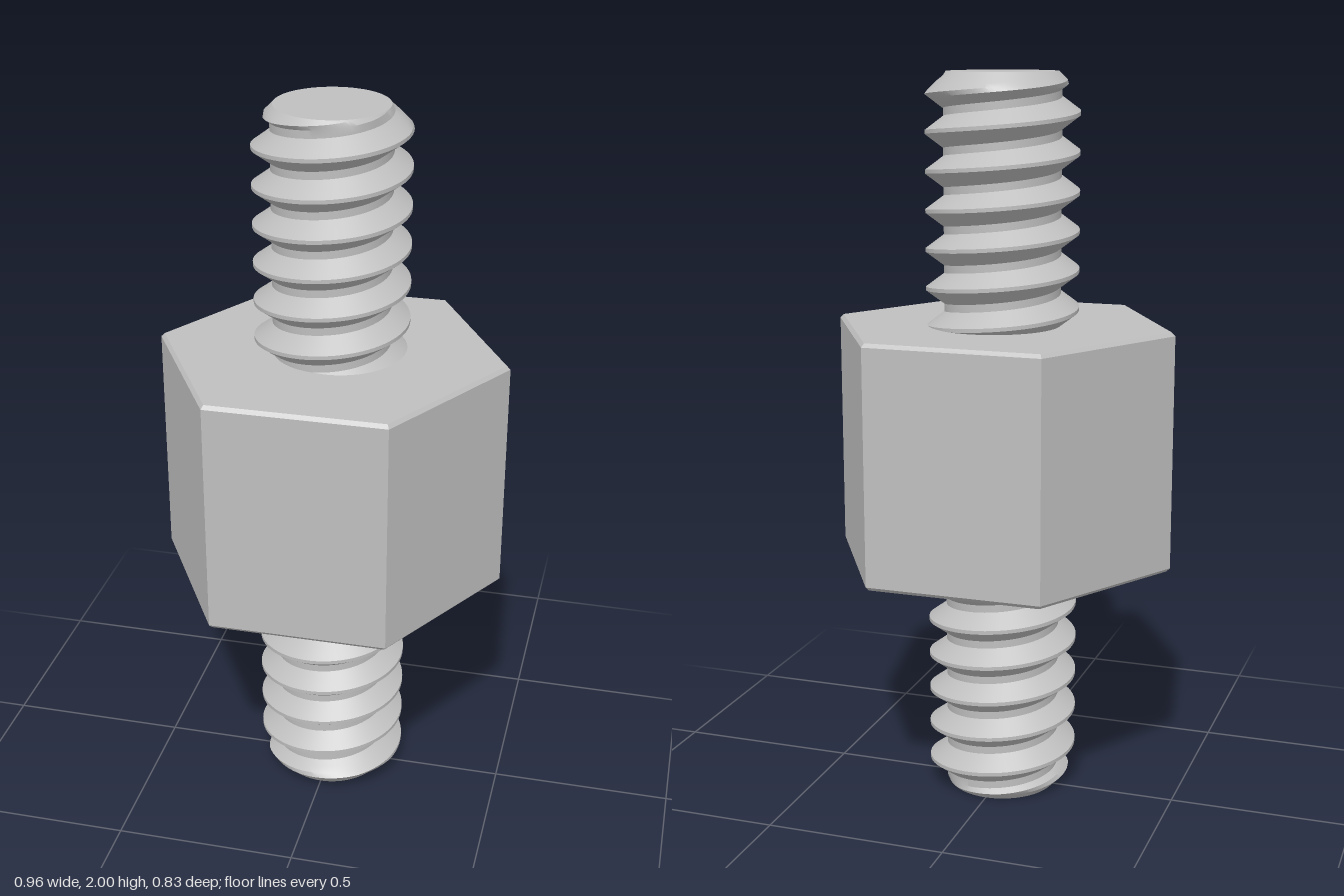
import * as THREE from 'three';
import { toCreasedNormals } from 'three/addons/utils/BufferGeometryUtils.js';

const HEIGHT = 2, PITCH = 0.104, MAJOR = 0.207, ROOT = 0.158, END = 0.15;
const CREST_Y = 1.94; // height of a crest on the +x side

// Thread radius at a distance u (in pitches) from the middle of a crest
function threadRadius(u) {
  const d = Math.abs(u - Math.round(u));
  const k = THREE.MathUtils.clamp((d - 0.05) / 0.35, 0, 1);
  return MAJOR + (ROOT - MAJOR) * k;
}

// Right-handed helical surface between two heights, chamfered at the rod ends
function threadGeometry(y0, y1) {
  const segments = 72;
  const knots = [-0.4, -0.2833, -0.1667, -0.05, 0.05, 0.1667, 0.2833, 0.4];
  const rows = [];
  const first = Math.floor((y0 - CREST_Y) / PITCH) - 2;
  const last = Math.ceil((y1 - CREST_Y) / PITCH) + 1;
  for (let turn = first; turn <= last; turn++) for (const k of knots) rows.push(turn + k);

  const point = (i, u) => {
    const t = (i / segments) * Math.PI * 2;
    const y = THREE.MathUtils.clamp(CREST_Y + PITCH * (u + i / segments), y0, y1);
    const r = Math.min(threadRadius(u), END + y, END + HEIGHT - y);
    return [r * Math.cos(t), y, -r * Math.sin(t)];
  };

  const positions = [];
  for (let j = 0; j < rows.length - 1; j++) {
    for (let i = 0; i < segments; i++) {
      const a = point(i, rows[j]), b = point(i + 1, rows[j]);
      const c = point(i + 1, rows[j + 1]), d = point(i, rows[j + 1]);
      // skip quads squeezed flat beyond the ends
      if (a[1] === c[1]) continue;
      positions.push(...a, ...b, ...d, ...b, ...c, ...d);
    }
  }
  const geometry = new THREE.BufferGeometry();
  geometry.setAttribute('position', new THREE.Float32BufferAttribute(positions, 3));
  return toCreasedNormals(geometry, 0.45);
}

export function createModel() {
  const model = new THREE.Group();
  model.name = 'hexSpacerStud';
  const steel = new THREE.MeshStandardMaterial({ color: 0xbfbfbf });
  steel.name = 'steel grey';

  const add = (name, geometry, parent = model) => {
    const mesh = new THREE.Mesh(geometry, steel);
    mesh.name = name;
    parent.add(mesh);
    return mesh;
  };

  // Hexagonal body with a fine chamfer, corners on the x axis
  const profile = [
    [0, 0.67], [0.47, 0.67], [0.48, 0.68], [0.48, 1.32], [0.47, 1.33], [0, 1.33],
  ].map(([r, y]) => new THREE.Vector2(r, y));
  const hex = new THREE.LatheGeometry(profile, 6, Math.PI / 2);
  add('hexBody', toCreasedNormals(hex, 0.2));

  // Threaded studs above and below, each closed by a flat end
  for (const top of [true, false]) {
    const stud = new THREE.Group();
    stud.name = top ? 'upperStud' : 'lowerStud';
    model.add(stud);
    add('thread', top ? threadGeometry(1.3, HEIGHT) : threadGeometry(0, 0.7), stud);
    const cap = add('endFace', new THREE.CircleGeometry(END, 72), stud);
    cap.rotation.x = top ? -Math.PI / 2 : Math.PI / 2;
    cap.position.y = top ? HEIGHT : 0;
  }
  return model;
}
